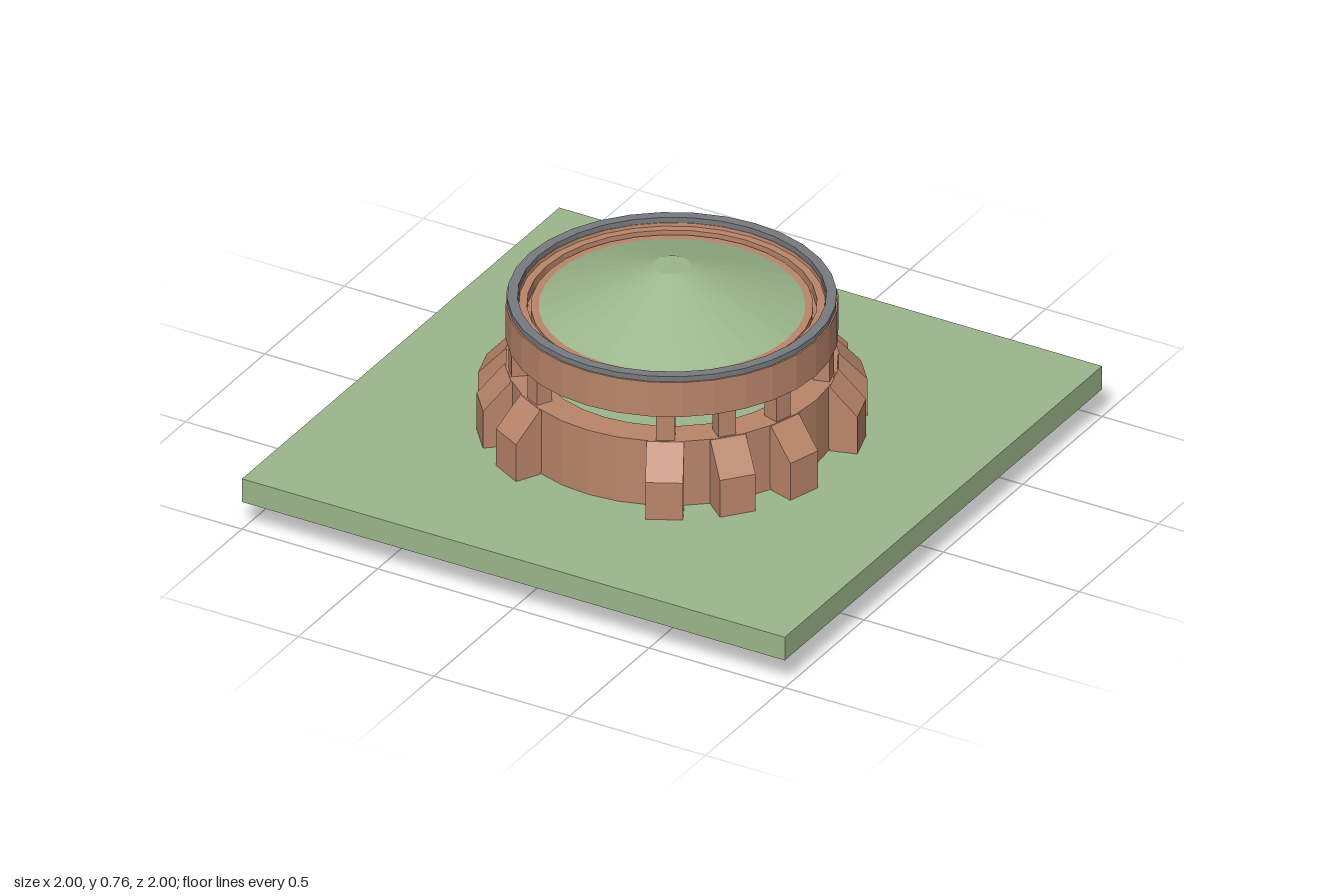
import * as THREE from 'three';

const SEGMENTS = 32;
const material = (color) =>
  new THREE.MeshStandardMaterial({ color, flatShading: true });

export function createModel() {
  const model = new THREE.Group();
  const green = material(0x9cb68c);
  const brick = material(0xb9856a);
  const stone = material(0x777a7e);

  function add(name, geometry, mat, parent = model) {
    const mesh = new THREE.Mesh(geometry, mat);
    mesh.name = name;
    parent.add(mesh);
    return mesh;
  }

  // Closed or open profile of [radius, height] pairs, spun around y
  function spin(points) {
    return new THREE.LatheGeometry(
      points.map(([r, y]) => new THREE.Vector2(r, y)), SEGMENTS);
  }

  // Lawn slab
  add('lawn', new THREE.BoxGeometry(2, 0.085, 2).translate(0, 0.1425, 0), green);

  // Lower ring wall
  add('lowerWall', spin([
    [0.53, 0.18], [0.53, 0.42], [0.43, 0.42], [0.43, 0.18],
  ]), brick);

  // Upper ring with a stepped inner edge, a groove and a closed soffit
  add('upperRing', spin([
    [0, 0.503], [0.49, 0.503], [0.49, 0.51], [0.53, 0.51], [0.53, 0.636],
    [0.49, 0.636], [0.488, 0.625], [0.462, 0.625], [0.462, 0.59],
    [0.45, 0.59], [0.45, 0.615], [0.41, 0.615],
  ]), brick);

  // Stone coping on the upper ring
  add('coping', spin([
    [0.525, 0.634], [0.525, 0.655], [0.492, 0.655], [0.492, 0.634],
  ]), stone);

  // Shallow conical roof with a small flat top
  add('roof', spin([[0.425, 0.615], [0.06, 0.763], [0, 0.763]]), green);

  // Sloped buttress seen from its side: x is the radius
  const side = new THREE.Shape([
    [0.62, 0], [0.62, 0.32], [0.53, 0.419], [0.51, 0.419], [0.51, 0.23],
  ].map(([r, y]) => new THREE.Vector2(r, y)));
  const buttress = new THREE.ExtrudeGeometry(side, { depth: 0.12, bevelEnabled: false })
    .translate(0, 0, -0.06);
  const pillar = new THREE.BoxGeometry(0.055, 0.1, 0.06).translate(0.495, 0.462, 0);

  // Six buttress and pillar pairs on each side, none at the front or back
  for (const half of [0, 180]) {
    for (const angle of [-62, -40, -17, 17, 40, 62]) {
      const bay = new THREE.Group();
      bay.name = 'bay';
      bay.rotation.y = THREE.MathUtils.degToRad(half + angle);
      add('buttress', buttress, brick, bay);
      add('pillar', pillar, brick, bay);
      model.add(bay);
    }
  }

  // Rear doorway: two jambs under a curved lintel
  const doorway = new THREE.Group();
  doorway.name = 'doorway';
  for (const sign of [-1, 1]) {
    add('jamb', new THREE.BoxGeometry(0.035, 0.24, 0.05)
      .translate(sign * 0.08, 0.3, -0.535), stone, doorway);
  }
  const arc = new THREE.Shape();
  const mid = -Math.PI / 2;
  arc.absarc(0, 0, 0.57, mid - 0.185, mid + 0.185, false);
  arc.absarc(0, 0, 0.5, mid + 0.21, mid - 0.21, true);
  const lintel = new THREE.ExtrudeGeometry(arc, {
    depth: 0.022, bevelEnabled: false, curveSegments: 4,
  }).rotateX(Math.PI / 2).translate(0, 0.44, 0);
  add('lintel', lintel, stone, doorway);
  model.add(doorway);

  return model;
}
